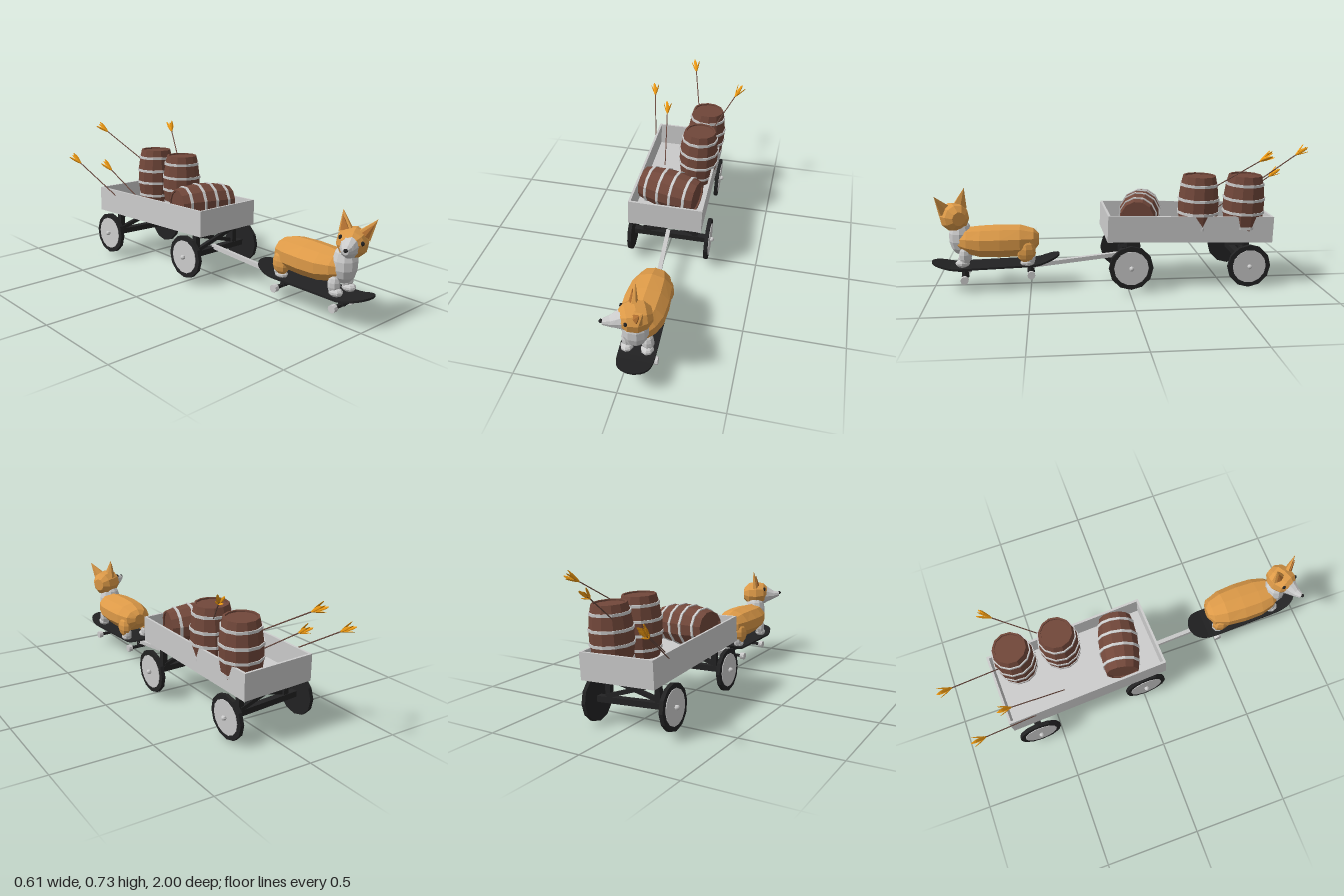
import * as THREE from 'three';

const mat = (color, flatShading = true) =>
  new THREE.MeshStandardMaterial({ color, flatShading, side: THREE.DoubleSide });
const grey = mat(0xcccccc), black = mat(0x222223), brown = mat(0x71473a), orange = mat(0xdd9a48),
  innerEar = mat(0xb87433), feather = mat(0xf39c12), shaft = mat(0x6b4a40), blue = mat(0x2a8fc0);
const V = (x, y, z) => new THREE.Vector3(x, y, z);

function add(parent, name, geo, material, x = 0, y = 0, z = 0) {
  const m = new THREE.Mesh(geo, material);
  m.name = name;
  m.position.set(x, y, z);
  parent.add(m);
  return m;
}
function group(parent, name, x = 0, y = 0, z = 0) {
  const g = new THREE.Group();
  g.name = name;
  g.position.set(x, y, z);
  parent.add(g);
  return g;
}
// geometry whose y axis runs from a to b
function between(parent, name, a, b, makeGeo, material) {
  const d = b.clone().sub(a);
  const m = add(parent, name, makeGeo(d.length()), material);
  m.position.copy(a).add(b).multiplyScalar(0.5);
  m.quaternion.setFromUnitVectors(V(0, 1, 0), d.normalize());
  return m;
}
const bar = (w) => (l) => new THREE.BoxGeometry(w, l, w);

// closed skin over elliptical sections [z, centreY, radiusX, radiusY]
function loft(sections, n = 10) {
  const pos = [], idx = [];
  for (const [z, y, rx, ry] of sections)
    for (let j = 0; j < n; j++) {
      const a = (j + 0.5) / n * Math.PI * 2;
      pos.push(Math.cos(a) * rx, y + Math.sin(a) * ry, z);
    }
  const last = sections.length - 1, c0 = pos.length / 3;
  for (const s of [sections[0], sections[last]]) pos.push(0, s[1], s[0]);
  for (let j = 0; j < n; j++) {
    const k = (j + 1) % n;
    for (let i = 0; i < last; i++) {
      const a = i * n + j, b = i * n + k;
      idx.push(a, b, a + n, b, b + n, a + n);
    }
    idx.push(c0, k, j, c0 + 1, last * n + j, last * n + k);
  }
  const g = new THREE.BufferGeometry();
  g.setAttribute('position', new THREE.Float32BufferAttribute(pos, 3));
  g.setIndex(idx);
  g.computeVertexNormals();
  return g;
}
const ball = (rx, ry, rz, n = 10) => new THREE.SphereGeometry(1, n, 7).scale(rx, ry, rz);

// barrel with recessed ends and four hoops, axis along y
function barrel(parent, x, y, z) {
  const g = group(parent, 'barrel', x, y, z);
  const r = (h) => 0.107 - 0.022 * (h / 0.155) ** 2;
  const lathe = (pts) => new THREE.LatheGeometry(pts.map((p) => new THREE.Vector2(...p)), 12);
  const side = [-0.155, -0.11, -0.035, 0.035, 0.11, 0.155].map((h) => [r(h), h]);
  add(g, 'staves', lathe([[0, -0.147], [0.075, -0.147], [0.075, -0.155], ...side,
    [0.075, 0.155], [0.075, 0.147], [0, 0.147]]), brown);
  for (const h of [-0.11, -0.035, 0.035, 0.11]) {
    const o = r(h) + 0.004, i = o - 0.012, t = 0.007;
    add(g, 'hoop', lathe([[i, h - t], [o, h - t], [o, h + t], [i, h + t]]), grey);
  }
  return g;
}

function arrow(parent, from, tip) {
  const g = group(parent, 'arrow');
  const dir = tip.clone().sub(from).normalize();
  between(g, 'arrowShaft', from, tip.clone().addScaledVector(dir, -0.05),
    (l) => new THREE.CylinderGeometry(0.003, 0.003, l, 6), shaft);
  const vanes = group(g, 'feathers');
  vanes.position.copy(tip).addScaledVector(dir, -0.085);
  vanes.quaternion.setFromUnitVectors(V(0, 1, 0), dir);
  // slender leaf blades splayed around the shaft
  for (let i = 0; i < 5; i++) {
    const blade = ball(0.008, 0.04, 0.003, 6).translate(0, 0.042, 0);
    const m = add(vanes, 'feather', blade, feather);
    m.rotation.order = 'YXZ';
    m.rotation.set(i ? 0.3 : 0.05, i * Math.PI / 2, 0);
  }
}

// axle with two wheels, posts and crossed braces
function axle(parent, x, y, z, roll, postTop) {
  const g = group(parent, 'axle', x, y, z);
  g.rotation.set(0, 0.035, roll);
  add(g, 'axleBeam', new THREE.BoxGeometry(0.41, 0.03, 0.035), black);
  for (const s of [-1, 1]) {
    const w = group(g, 'wheel', s * 0.207, 0, 0);
    w.rotation.z = -Math.PI / 2 * s;
    add(w, 'tyre', new THREE.CylinderGeometry(0.113, 0.113, 0.02, 12), black);
    add(w, 'wheelDisc', new THREE.CylinderGeometry(0.088, 0.088, 0.006, 14), grey, 0, 0.01, 0);
    add(w, 'hub', ball(0.013, 0.013, 0.013, 8), grey, 0, 0.02, 0);
    between(g, 'post', V(s * 0.135, 0, 0), V(s * 0.135, postTop, 0), bar(0.028), black);
    between(g, 'brace', V(s * 0.135, postTop - 0.025, s * 0.008), V(-s * 0.135, 0.02, s * 0.008), bar(0.02), black);
  }
}

function wagon(parent) {
  const g = group(parent, 'wagon');
  const bed = group(g, 'wagonBed', 0, 0.314, -0.315);
  bed.rotation.set(-0.032, 0.035, -0.025);
  const W = 0.39, H = 0.135, L = 0.86, T = 0.012;
  add(bed, 'floor', new THREE.BoxGeometry(W, T, L), grey, 0, -H / 2 + T / 2, 0);
  for (const s of [-1, 1]) {
    add(bed, 'sideBoard', new THREE.BoxGeometry(T, H, L), grey, s * (W - T) / 2, 0, 0);
    add(bed, 'endBoard', new THREE.BoxGeometry(W - 2 * T, H, T), grey, 0, 0, s * (L - T) / 2);
  }
  axle(g, 0.023, 0.131, 0, -0.02, 0.125);
  axle(g, -0.025, 0.118, -0.62, -0.05, 0.125);
  between(g, 'drawbar', V(0.01, 0.148, 0), V(0.045, 0.105, 0.49), bar(0.022), grey);

  barrel(g, 0.1, 0.42, -0.61).rotation.set(-0.02, 0.2, -0.05);
  barrel(g, 0.1, 0.42, -0.37).rotation.set(-0.02, 0.1, -0.04);
  const lying = barrel(g, 0.005, 0.373, -0.077);
  lying.quaternion.setFromUnitVectors(V(0, 1, 0), V(0.308, -0.012, 0.065).normalize());

  arrow(g, V(0.06, 0.48, -0.62), V(-0.045, 0.695, -0.99));
  arrow(g, V(0.13, 0.5, -0.42), V(0.283, 0.705, -0.705));
  arrow(g, V(-0.195, 0.33, -0.57), V(-0.283, 0.545, -0.92));
  arrow(g, V(-0.105, 0.29, -0.42), V(-0.168, 0.515, -0.765));
}

function skateboard(parent) {
  const g = group(parent, 'skateboard');
  // deck: box bent up at both ends and rounded in plan
  const deck = new THREE.BoxGeometry(1, 0.01, 2, 4, 1, 24), p = deck.attributes.position;
  for (let i = 0; i < p.count; i++) {
    const t = Math.sin(p.getZ(i) * Math.PI / 2), z = 0.675 + 0.325 * t;
    const w = 0.175 * Math.max(0.02, 1 - Math.abs(t) ** 8) ** 0.5;
    const y = 0.119 - 0.02 * (z - 0.675) + 0.33 * Math.max(0, 0.46 - z) + 0.28 * Math.max(0, z - 0.89);
    p.setXYZ(i, 0.052 + (z - 0.675) * 0.04 + p.getX(i) * w, y + p.getY(i), z);
  }
  deck.computeVertexNormals();
  add(g, 'deck', deck, black);
  for (const [x, y, z] of [[0.07, 0.06, 0.835], [0.036, 0.068, 0.5]]) {
    const t = group(g, 'truck', x, y, z);
    t.rotation.y = 0.04;
    add(t, 'truckAxle', new THREE.BoxGeometry(0.13, 0.014, 0.016), black);
    add(t, 'truckBase', new THREE.BoxGeometry(0.05, 0.014, 0.07), black, 0, 0.04, 0);
    add(t, 'truckPost', new THREE.CylinderGeometry(0.014, 0.02, 0.045, 8), black, 0, 0.02, 0);
    add(t, 'bushing', new THREE.CylinderGeometry(0.016, 0.016, 0.006, 8), blue, 0, 0.012, 0);
    for (const s of [-1, 1])
      add(t, 'smallWheel', new THREE.CylinderGeometry(0.02, 0.02, 0.024, 10).rotateZ(Math.PI / 2), grey, s * 0.07, 0, 0);
  }
}

function dog(parent) {
  const g = group(parent, 'dog', 0.057, 0, 0);
  add(g, 'body', loft([[0.455, 0.25, 0.03, 0.03], [0.48, 0.245, 0.075, 0.06], [0.55, 0.242, 0.102, 0.085],
    [0.65, 0.242, 0.111, 0.087], [0.75, 0.242, 0.108, 0.083], [0.82, 0.248, 0.088, 0.07], [0.87, 0.25, 0.05, 0.045]]), orange);
  add(g, 'chest', ball(0.065, 0.095, 0.06), grey, -0.003, 0.27, 0.852);
  for (const s of [-1, 1]) {
    add(g, 'frontLeg', ball(0.03, 0.05, 0.03, 8), grey, s * 0.048, 0.175, 0.83);
    add(g, 'frontPaw', ball(0.031, 0.022, 0.036, 8), grey, s * 0.048, 0.14, 0.842);
    add(g, 'thigh', ball(0.035, 0.06, 0.05, 8), orange, s * 0.065, 0.2, 0.52);
    add(g, 'backLeg', ball(0.025, 0.04, 0.026, 8), grey, s * 0.058, 0.16, 0.5);
    add(g, 'backPaw', ball(0.028, 0.02, 0.036, 8), grey, s * 0.058, 0.138, 0.515);
  }

  // head turned towards its right
  const h = group(g, 'head', 0.005, 0.375, 0.88);
  h.rotation.order = 'YXZ';
  h.rotation.set(0, -1.12, -0.2);
  add(h, 'skull', loft([[-0.075, 0, 0.035, 0.035], [-0.045, 0, 0.064, 0.066], [0, 0, 0.075, 0.074],
    [0.045, 0.004, 0.064, 0.062], [0.075, 0.004, 0.03, 0.035]]), orange);
  add(h, 'muzzle', loft([[0.015, -0.012, 0.056, 0.06], [0.05, -0.002, 0.048, 0.06], [0.08, -0.004, 0.036, 0.042],
    [0.11, -0.006, 0.026, 0.026], [0.145, 0, 0.014, 0.014]]), grey);
  add(h, 'nose', ball(0.01, 0.009, 0.009, 8), black, 0, 0.008, 0.148);
  for (const s of [-1, 1]) {
    add(h, 'eye', ball(0.01, 0.011, 0.009, 8), black, s * 0.05, 0.026, 0.05);
    const ear = group(h, 'ear', s * 0.06, 0.088, -0.01);
    ear.rotation.set(-0.05, s * 0.25, -s * 0.42);
    add(ear, 'outerEar', new THREE.ConeGeometry(0.04, 0.1, 6).scale(1, 1, 0.5), orange);
    add(ear, 'innerEar', new THREE.ConeGeometry(0.024, 0.07, 6).scale(1, 1, 0.5), innerEar, 0, -0.008, 0.011);
  }
}

export function createModel() {
  const model = new THREE.Group();
  model.name = 'dogWagon';
  wagon(model);
  skateboard(model);
  dog(model);
  return model;
}
